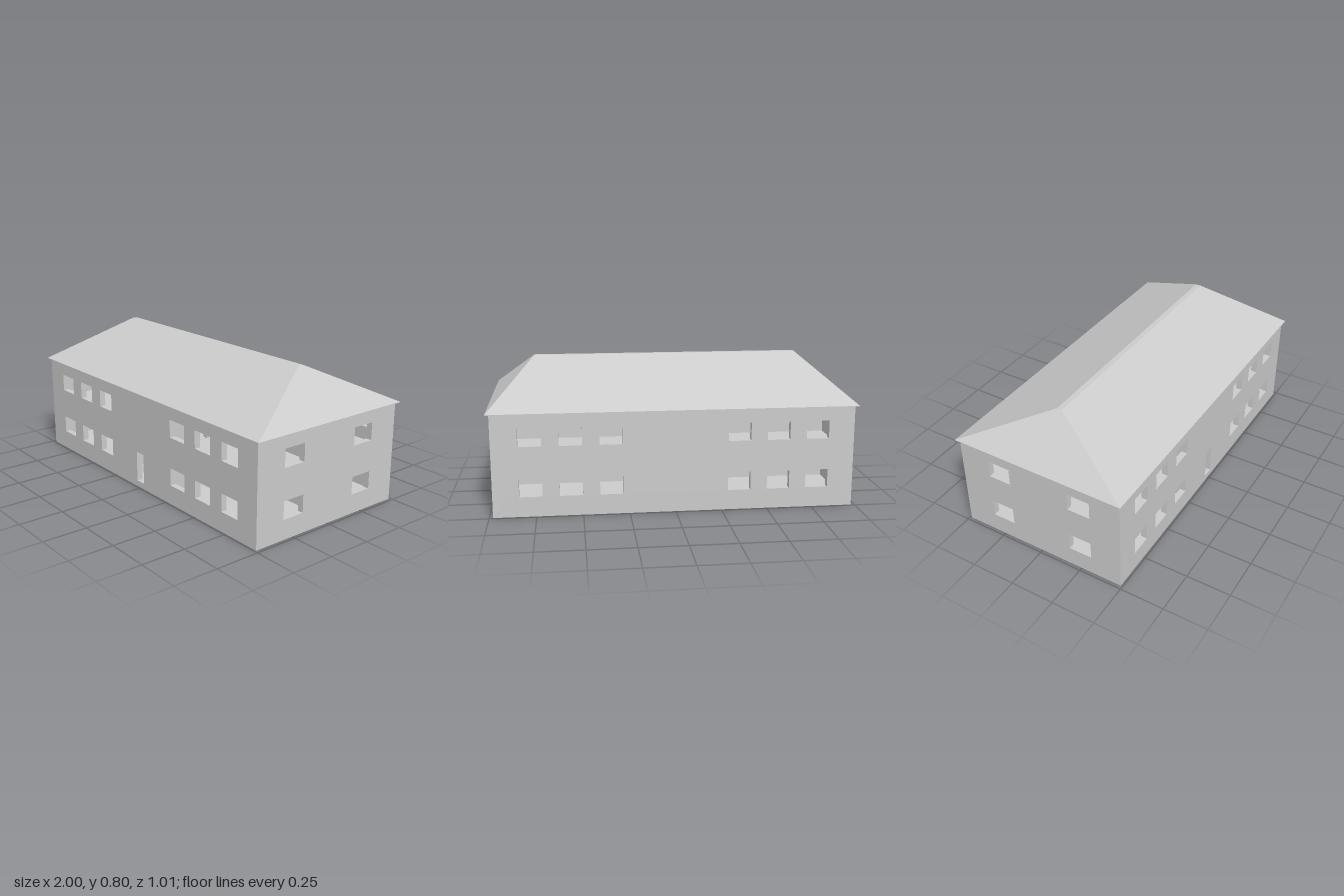
import * as THREE from 'three';

const mat = new THREE.MeshStandardMaterial({ color: 0xcccccc, flatShading: true });
const W = 0.98, D = 0.49, H = 0.56, T = 0.035; // half width, half depth, wall height, thickness
const FLOOR = 0.035, UPPER = 0.31, STOREY = UPPER - FLOOR;

function add(group, name, geometry, x = 0, y = 0, z = 0) {
  const m = new THREE.Mesh(geometry, mat);
  m.name = name;
  m.position.set(x, y, z);
  group.add(m);
  return m;
}

function rectangle(Type, x0, y0, x1, y1) {
  const p = new Type();
  p.moveTo(x0, y0);
  p.lineTo(x1, y0);
  p.lineTo(x1, y1);
  p.lineTo(x0, y1);
  p.closePath();
  return p;
}

// Flat panel with rectangular openings [x0, y0, x1, y1]
function panel(x0, y0, x1, y1, openings, depth) {
  const shape = rectangle(THREE.Shape, x0, y0, x1, y1);
  for (const o of openings) shape.holes.push(rectangle(THREE.Path, ...o));
  return new THREE.ExtrudeGeometry(shape, { depth, bevelEnabled: false });
}

// The same openings on both storeys
function windows(centres, width) {
  return [0.11, 0.11 + STOREY].flatMap(y =>
    centres.map(c => [c - width / 2, y, c + width / 2, y + 0.1]));
}

// Hipped roof from horizontal rectangles [halfX, y, halfZ]
function roofGeometry(levels) {
  const pos = [], idx = [], n = levels.length;
  for (const [x, y, z] of levels) pos.push(-x, y, z, x, y, z, x, y, -z, -x, y, -z);
  for (let l = 0; l < n - 1; l++) {
    for (let i = 0; i < 4; i++) {
      const a = l * 4 + i, b = l * 4 + (i + 1) % 4;
      idx.push(a, b, b + 4, a, b + 4, a + 4);
    }
  }
  const t = (n - 1) * 4;
  idx.push(t, t + 1, t + 2, t, t + 2, t + 3, 0, 2, 1, 0, 3, 2);
  const g = new THREE.BufferGeometry();
  g.setAttribute('position', new THREE.Float32BufferAttribute(pos, 3));
  g.setIndex(idx);
  const flat = g.toNonIndexed();
  flat.computeVertexNormals();
  return flat;
}

function flight(group, x, y0, y1, z0, z1, width, steps) {
  const rise = (y1 - y0) / steps, run = (z1 - z0) / steps;
  for (let i = 0; i < steps; i++) {
    add(group, 'step', new THREE.BoxGeometry(width, rise * 1.5, Math.abs(run)),
      x, y0 + rise * (i + 0.25), z0 + run * (i + 0.5));
  }
}

export function createModel() {
  const house = new THREE.Group();
  house.name = 'house';

  // Outer walls
  const long = windows([-0.777, -0.562, -0.347, 0.347, 0.562, 0.777], 0.124);
  const door = [-0.035, FLOOR, 0.03, 0.21];
  add(house, 'frontWall', panel(-W, 0, W, H, [...long, door], T), 0, 0, D - T);
  add(house, 'backWall', panel(-W, 0, W, H, long, T), 0, 0, -D);
  const short = windows([-0.246, 0.246], 0.132);
  for (const s of [-1, 1]) {
    const wall = add(house, s > 0 ? 'leftWall' : 'rightWall',
      panel(-D + T, 0, D - T, H, short, T), s > 0 ? W - T : -W, 0, 0);
    wall.rotation.y = Math.PI / 2;
  }

  // Ground floor and upper floor with a stairwell
  const IW = W - T, ID = D - T;
  add(house, 'groundFloor', new THREE.BoxGeometry(2 * IW, FLOOR, 2 * ID), 0, FLOOR / 2, 0);
  const upper = add(house, 'upperFloor',
    panel(-IW, -ID, IW, ID, [[-0.11, -0.3, 0.11, -0.02]], T), 0, UPPER - T, 0);
  upper.rotation.x = -Math.PI / 2;

  // Inner walls: one along the middle, two across with doorways
  add(house, 'middleWall', new THREE.BoxGeometry(2 * IW, H - FLOOR, 0.03), 0, (H + FLOOR) / 2, 0);
  const doorways = [FLOOR, UPPER].flatMap(y =>
    [-0.28, 0.18].map(u => [u, y + 0.001, u + 0.065, y + 0.178]));
  for (const s of [-1, 1]) {
    const wall = add(house, 'crossWall',
      panel(-ID, 0.01, ID, H, doorways, 0.03), s * 0.24 - 0.015, 0, 0);
    wall.rotation.y = Math.PI / 2;
  }

  // Two-flight staircase behind the entrance
  const stairs = new THREE.Group();
  stairs.name = 'stairs';
  flight(stairs, -0.065, FLOOR, 0.165, 0.3, 0.1, 0.09, 10);
  flight(stairs, 0.06, 0.165, UPPER, 0.1, 0.3, 0.09, 10);
  add(stairs, 'landing', new THREE.BoxGeometry(0.22, 0.02, 0.085), 0, 0.155, 0.0575);
  house.add(stairs);

  // Roof with thin eaves
  add(house, 'roof', roofGeometry([[1, H, 0.505], [1, H + 0.004, 0.505], [0.753, 0.798, 0.015]]));

  return house;
}
